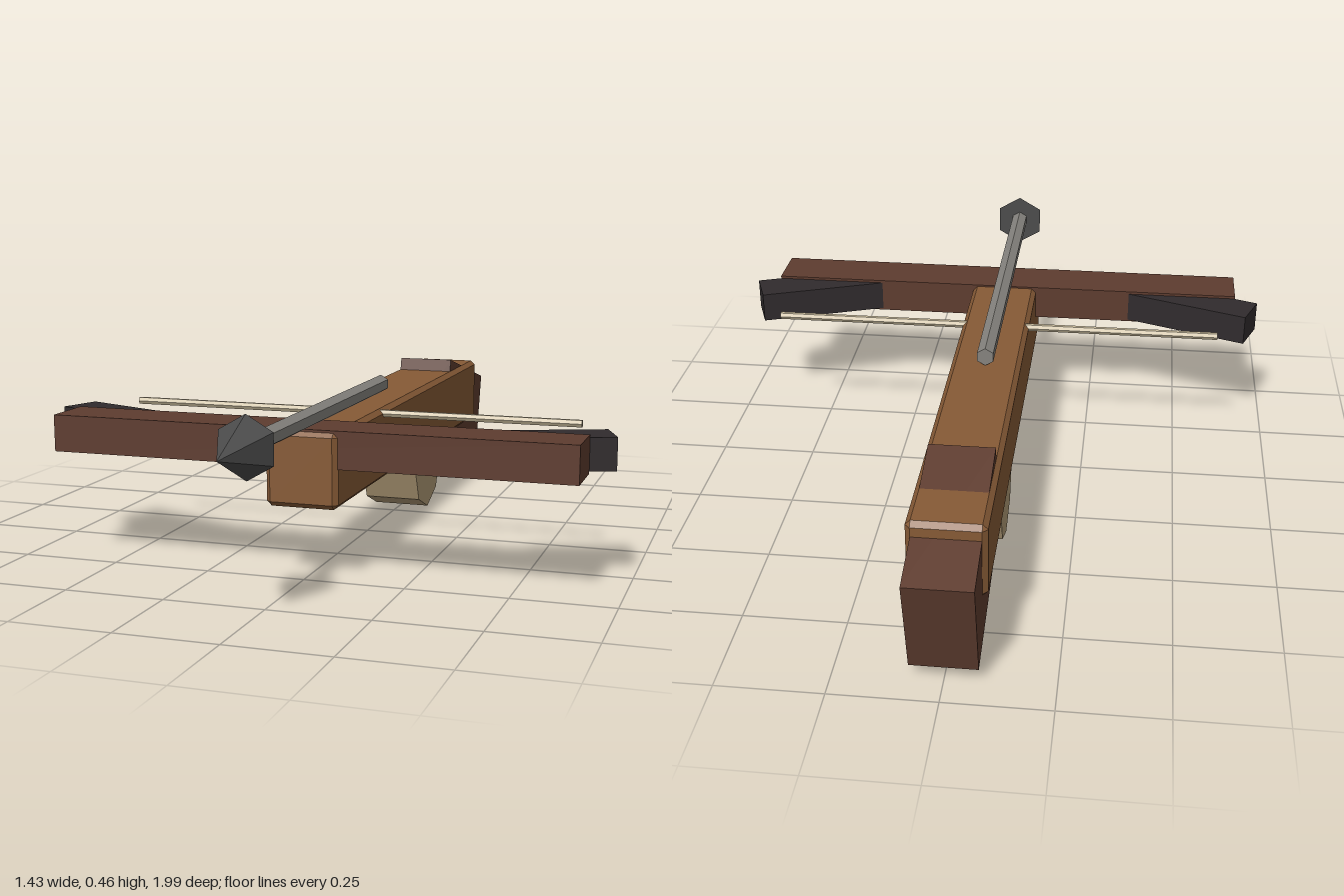
import * as THREE from 'three';
import { ConvexGeometry } from 'three/addons/geometries/ConvexGeometry.js';

const paint = (name, color) => {
  const m = new THREE.MeshStandardMaterial({ color });
  m.name = name;
  return m;
};

// Faceted normals for low-poly round parts
const facet = (g) => {
  const flat = g.toNonIndexed();
  flat.computeVertexNormals();
  return flat;
};

// Box with all edges cut by a small chamfer
function chamferBox(w, h, d, c) {
  const pts = [];
  for (const sx of [-1, 1]) for (const sy of [-1, 1]) for (const sz of [-1, 1]) {
    for (let axis = 0; axis < 3; axis++) {
      const half = [w / 2 - c, h / 2 - c, d / 2 - c];
      half[axis] += c;
      pts.push(new THREE.Vector3(sx * half[0], sy * half[1], sz * half[2]));
    }
  }
  return new ConvexGeometry(pts);
}

export function createModel() {
  const group = new THREE.Group();
  group.name = 'crossbow';
  const wood = paint('stock wood', 0x865a36);
  const darkWood = paint('dark wood', 0x5e3c2f);
  const black = paint('limb tip black', 0x302b2d);
  const tan = paint('grip tan', 0xb09a76);
  const cord = paint('cord', 0xc9bb9c);
  const steel = paint('shaft grey', 0x85837e);
  const iron = paint('head iron', 0x4b4b4b);

  const add = (name, geometry, material, x, y, z) => {
    const mesh = new THREE.Mesh(geometry, material);
    mesh.name = name;
    mesh.position.set(x, y, z);
    group.add(mesh);
    return mesh;
  };

  // Stock and tilted butt
  add('stock', chamferBox(0.18, 0.185, 1.375, 0.012), wood, 0, 0.27, -0.172);
  const butt = add('butt', new THREE.BoxGeometry(0.156, 0.263, 0.422), darkWood, 0, 0.2175, -0.7575);
  butt.rotation.x = -0.25;

  // Bow with swept-back tips
  add('bow', new THREE.BoxGeometry(1.31, 0.092, 0.135), darkWood, 0, 0.321, 0.4375);
  for (const side of [-1, 1]) {
    const tip = add(side > 0 ? 'leftTip' : 'rightTip',
      new THREE.BoxGeometry(0.4, 0.08, 0.105), black, side * 0.51, 0.32, 0.368);
    tip.rotation.y = side * 0.36;
  }

  // Bowstring
  add('string', facet(new THREE.CylinderGeometry(0.01, 0.01, 1.2, 6).rotateZ(Math.PI / 2)), cord, 0, 0.351, 0.142);

  // Round grip under the stock
  add('grip', facet(new THREE.CylinderGeometry(0.133, 0.133, 0.156, 8).rotateZ(Math.PI / 2)), tan, 0, 0.133, -0.332);

  // Bolt shaft and head
  add('boltShaft', facet(new THREE.CylinderGeometry(0.024, 0.024, 0.97, 6).rotateX(Math.PI / 2)), steel, 0, 0.387, 0.365);
  add('boltHead', facet(new THREE.ConeGeometry(0.073, 0.155, 6).rotateX(Math.PI / 2)), iron, 0, 0.385, 0.92);

  return group;
}
